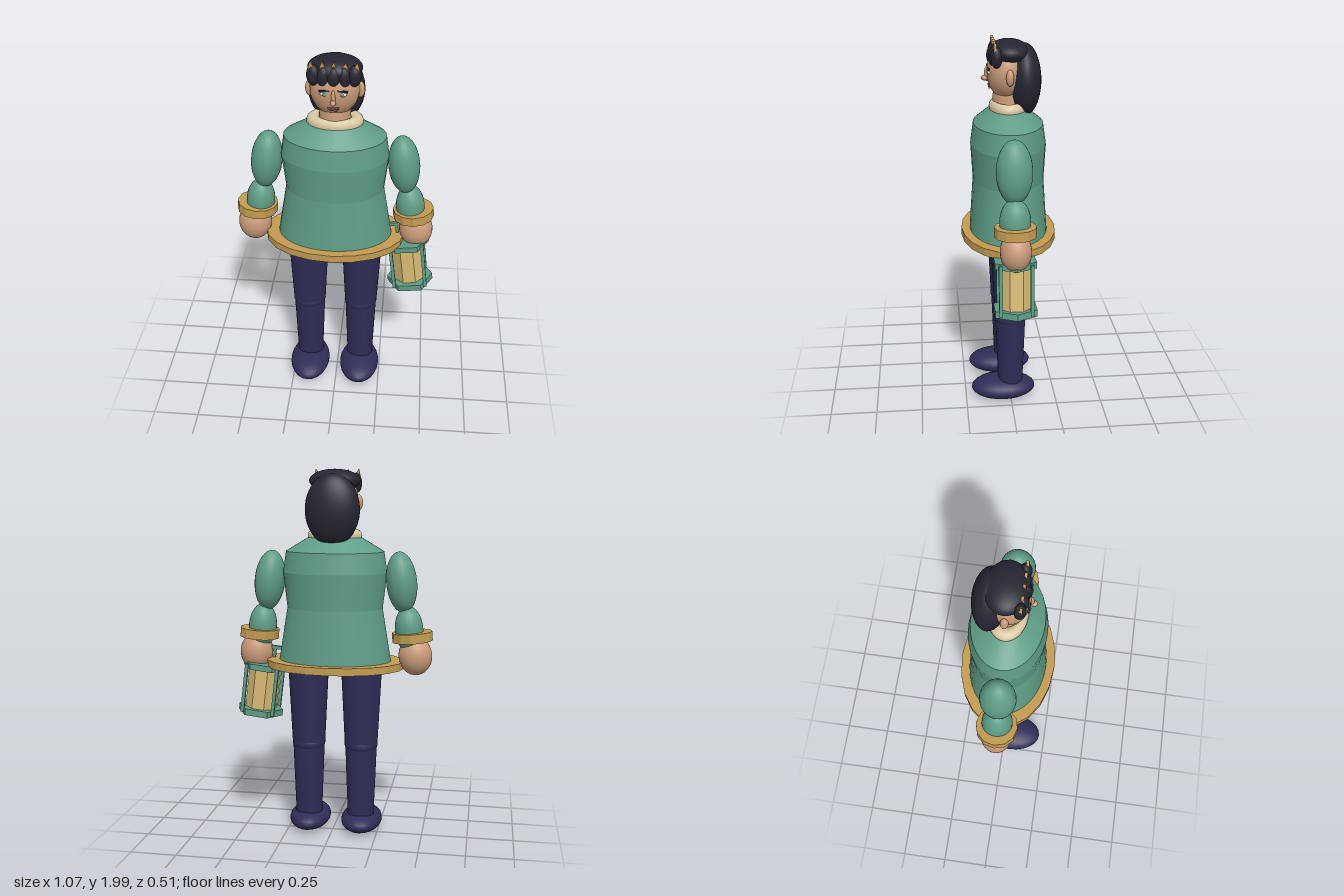
import * as THREE from 'three';

const mat = (name, color) => {
  const m = new THREE.MeshStandardMaterial({ color });
  m.name = name;
  return m;
};

export function createModel() {
  const green = mat('green cloth', 0x5f9d86), gold = mat('gold trim', 0xc49c52);
  const skin = mat('skin', 0xcb9c7a), navy = mat('navy trousers', 0x2e2d57);
  const hair = mat('dark hair', 0x262633), cream = mat('cream collar', 0xdccaa6);
  const glass = mat('lantern glass', 0xd8bb76), white = mat('eye white', 0xe6e2d8);
  const lip = mat('lips', 0x96614f);

  const root = new THREE.Group();
  root.name = 'lanternBearer';
  const body = new THREE.Group();
  body.name = 'figure';
  body.position.x = -0.012;
  root.add(body);

  const add = (parent, name, geo, material, x = 0, y = 0, z = 0, rz = 0) => {
    const m = new THREE.Mesh(geo, material);
    m.name = name;
    m.position.set(x, y, z);
    m.rotation.z = rz;
    parent.add(m);
    return m;
  };
  const ball = (parent, name, material, [x, y, z], [rx, ry, rz], rot = 0, seg = 24) =>
    add(parent, name, new THREE.SphereGeometry(1, seg, Math.ceil(seg * 0.67)).scale(rx, ry, rz), material, x, y, z, rot);
  const box = (parent, name, material, [x, y, z], [w, h, d], rot = 0) =>
    add(parent, name, new THREE.BoxGeometry(w, h, d), material, x, y, z, rot);
  // Faceted band with a rectangular section
  const ring = (inner, outer, h, sides) => {
    const p = [[inner, -h / 2], [outer, -h / 2], [outer, h / 2], [inner, h / 2], [inner, -h / 2]];
    const g = new THREE.LatheGeometry(p.map(([x, y]) => new THREE.Vector2(x, y)), sides).toNonIndexed();
    g.computeVertexNormals();
    return g;
  };

  // Tunic: stacked oval bands [y, half width, half depth]
  const bands = [[0.955, 0.31, 0.21], [1.27, 0.258, 0.188], [1.46, 0.28, 0.198], [1.57, 0.264, 0.182], [1.645, 0.14, 0.095]];
  for (let i = 0; i < bands.length - 1; i++) {
    const [y0, w0, d0] = bands[i], [y1, w1, d1] = bands[i + 1];
    const g = new THREE.CylinderGeometry(w1, w0, y1 - y0, 32, 1, i > 0 && i < 3);
    const p = g.attributes.position;
    for (let k = 0; k < p.count; k++) p.setZ(k, p.getZ(k) * (p.getY(k) > 0 ? d1 / w1 : d0 / w0));
    g.computeVertexNormals();
    add(body, 'tunicBand', g, green, 0, (y0 + y1) / 2, 0);
  }
  add(body, 'tunicHem', ring(0.305, 0.375, 0.04, 20).scale(1, 1, 0.675), gold, 0, 0.965, 0);

  // Collar and neck
  add(body, 'collar', new THREE.TorusGeometry(0.11, 0.036, 12, 28).rotateX(Math.PI / 2).scale(1, 0.95, 0.68), cream, 0, 1.652, 0);
  add(body, 'neck', new THREE.CylinderGeometry(0.075, 0.085, 0.14, 20), skin, 0, 1.69, 0);

  for (const s of [-1, 1]) {
    // Leg and shoe
    const lx = s * 0.146;
    add(body, 'thigh', new THREE.CylinderGeometry(0.112, 0.09, 0.45, 24).scale(1, 1, 0.95), navy, lx, 0.735, 0);
    ball(body, 'knee', navy, [lx, 0.515, 0], [0.091, 0.06, 0.089]);
    add(body, 'shin', new THREE.CylinderGeometry(0.088, 0.072, 0.44, 24).scale(1, 1, 0.95), navy, lx, 0.31, 0);
    ball(body, 'shoe', navy, [lx, 0.069, 0.04], [0.113, 0.063, 0.178]);

    // Arm, cuff and hand
    ball(body, 'upperSleeve', green, [s * 0.357, 1.41, 0], [0.082, 0.163, 0.092], s * 0.11);
    ball(body, 'lowerSleeve', green, [s * 0.4, 1.16, 0], [0.076, 0.125, 0.08], s * 0.08);
    add(body, 'cuff', ring(0.06, 0.108, 0.05, 12), gold, s * 0.418, 1.122, 0, s * 0.075);
    ball(body, 'hand', skin, [s * 0.436, 1.018, 0], [0.09, 0.105, 0.081], s * 0.08);

    // Ear, eye and eyebrow
    ball(body, 'ear', skin, [s * 0.126, 1.825, 0], [0.022, 0.042, 0.02]);
    ball(body, 'eye', white, [s * 0.045, 1.84, 0.1], [0.021, 0.01, 0.009], 0, 12);
    ball(body, 'iris', green, [s * 0.045, 1.84, 0.107], [0.009, 0.009, 0.005], 0, 10);
    box(body, 'eyebrow', hair, [s * 0.046, 1.858, 0.102], [0.05, 0.008, 0.009], -s * 0.08);
  }

  // Head and face
  ball(body, 'head', skin, [0, 1.835, 0.01], [0.125, 0.14, 0.1]);
  ball(body, 'noseBridge', skin, [0, 1.825, 0.108], [0.011, 0.04, 0.014], 0, 12);
  ball(body, 'noseTip', skin, [0, 1.803, 0.12], [0.015, 0.014, 0.018], 0, 12);
  box(body, 'upperLip', lip, [0, 1.765, 0.098], [0.056, 0.008, 0.009]);
  box(body, 'lowerLip', lip, [0, 1.754, 0.095], [0.038, 0.007, 0.009]);

  // Hair: long back fall, crown of the head and a fringe of curls
  ball(body, 'backHair', hair, [0, 1.79, -0.085], [0.145, 0.187, 0.086], 0, 28);
  ball(body, 'topHair', hair, [0, 1.938, -0.005], [0.136, 0.06, 0.106], 0, 28);
  for (let i = -2; i <= 2; i++)
    ball(body, 'fringeCurl', hair, [i * 0.05, 1.918 + (Math.abs(i) > 1 ? 0.006 : 0), 0.08 - Math.abs(i) * 0.007], [0.034, 0.054, 0.03], 0, 16);

  // Crown: thin plate with five points
  const crown = new THREE.Shape();
  crown.moveTo(-0.125, 1.93);
  for (let i = -2; i <= 2; i++) {
    crown.lineTo(i * 0.052 - 0.021, 1.952);
    crown.lineTo(i * 0.058, 1.998);
    crown.lineTo(i * 0.052 + 0.021, 1.952);
  }
  crown.lineTo(0.125, 1.93);
  crown.closePath();
  add(body, 'crown', new THREE.ExtrudeGeometry(crown, { depth: 0.014, bevelEnabled: false }), gold, 0, 0, 0.066);

  // Lantern hanging from the left hand
  const lantern = new THREE.Group();
  lantern.name = 'lantern';
  lantern.position.set(0.407, 0.687, 0);
  lantern.rotation.z = 0.12;
  root.add(lantern);
  const hex = (r, h, sides) => {
    const g = new THREE.CylinderGeometry(r, r, h, sides).rotateY(Math.PI / 2).toNonIndexed();
    g.computeVertexNormals();
    return g;
  };
  add(lantern, 'lanternBase', hex(0.125, 0.035, 6), green);
  add(lantern, 'lanternTop', hex(0.122, 0.032, 6), green, 0, 0.255, 0);
  add(lantern, 'lanternGlass', hex(0.088, 0.24, 8).rotateY(Math.PI / 8), glass, 0, 0.128, 0);
  for (const x of [-1, 1]) {
    for (const z of [-1, 1])
      box(lantern, 'lanternPost', green, [x * 0.085, 0.128, z * 0.08], [0.018, 0.27, 0.018]);
    box(lantern, 'handleUpright', green, [x * 0.045, 0.31, 0], [0.014, 0.11, 0.014]);
  }
  box(lantern, 'handleBar', green, [0, 0.362, 0], [0.165, 0.018, 0.018]);

  return root;
}
